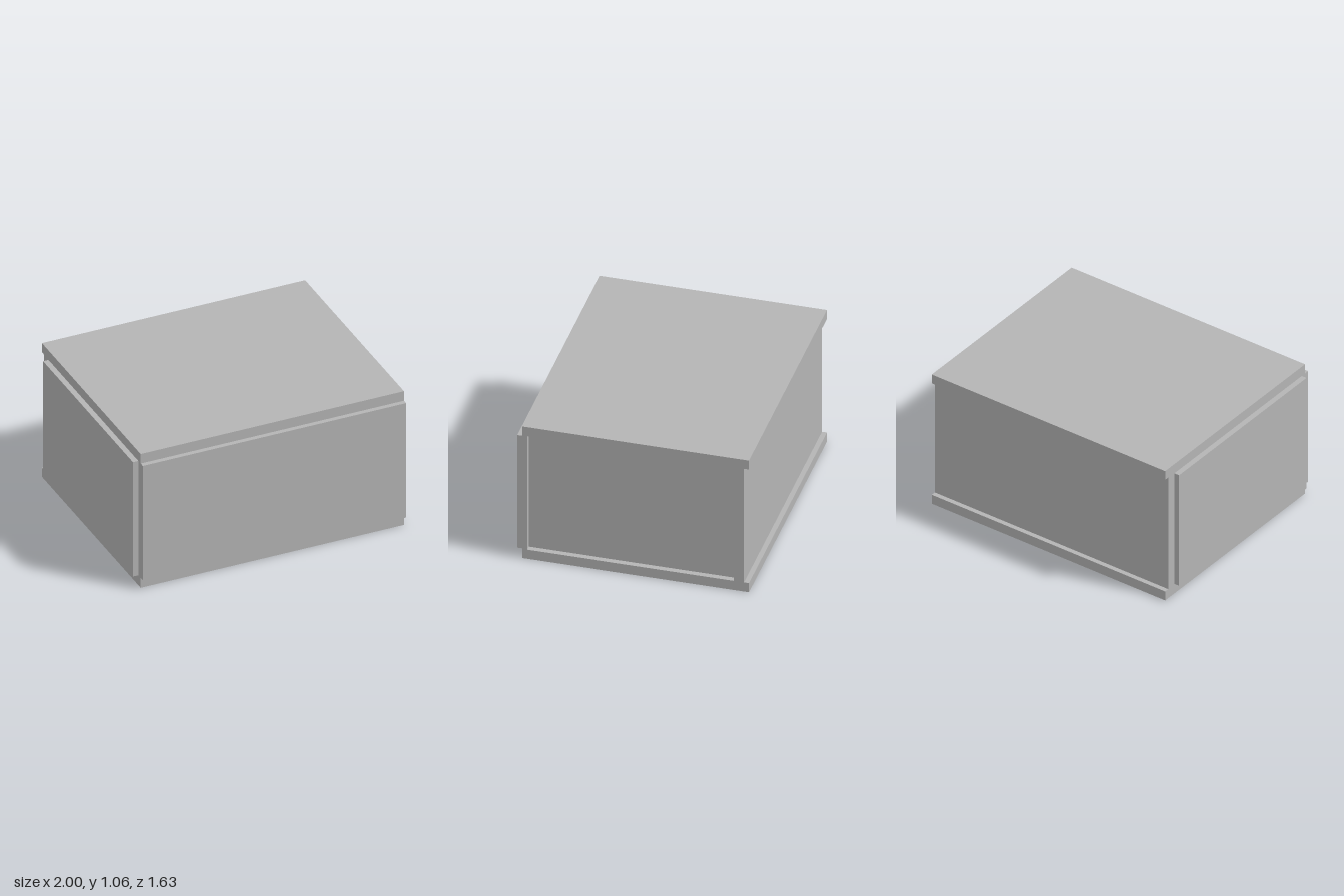
import * as THREE from 'three';

export function createModel() {
  const group = new THREE.Group();
  const grey = new THREE.MeshStandardMaterial({ color: 0xb4b4b4 });
  grey.name = 'plain grey';

  const add = (name, geometry) => {
    const mesh = new THREE.Mesh(geometry, grey);
    mesh.name = name;
    group.add(mesh);
    return mesh;
  };
  // Box given by its limits on each axis
  const box = (name, [x0, x1], [y0, y1], [z0, z1]) =>
    add(name, new THREE.BoxGeometry(x1 - x0, y1 - y0, z1 - z0))
      .position.set((x0 + x1) / 2, (y0 + y1) / 2, (z0 + z1) / 2);

  const low = 0.073, high = 0.985, top = 1.057;

  // Body between the slabs, set in at the back to form the rear groove
  box('body', [-0.96, 0.96], [low, high], [-0.78, 0.78]);

  // Top and bottom slabs overhang the rear groove
  box('bottomSlab', [-0.96, 0.96], [0, low], [-0.815, 0.78]);
  box('topSlab', [-0.96, 0.96], [high, top], [-0.815, 0.78]);

  // Left side frame around a shallow rectangular socket; (x, y) of the shape is (-z, y)
  const outline = [
    [-0.78, 0], [0.815, 0], [0.815, low], [0.78, low],
    [0.78, high], [0.815, high], [0.815, top], [-0.78, top],
  ];
  const shape = new THREE.Shape(outline.map(([x, y]) => new THREE.Vector2(x, y)));
  const socket = [[-0.745, low], [-0.745, high], [0.71, high], [0.71, low]];
  shape.holes.push(new THREE.Path(socket.map(([x, y]) => new THREE.Vector2(x, y))));
  const frame = new THREE.ExtrudeGeometry(shape, { depth: 0.04, bevelEnabled: false });
  frame.rotateY(Math.PI / 2);
  add('socketFrame', frame).position.x = 0.96;

  // Raised tongues that match the groove and the socket
  box('frontTongue', [-0.96, 1], [0.078, 0.982], [0.78, 0.815]);
  box('rightTongue', [-1, -0.96], [0.078, 0.982], [-0.71, 0.742]);

  return group;
}
